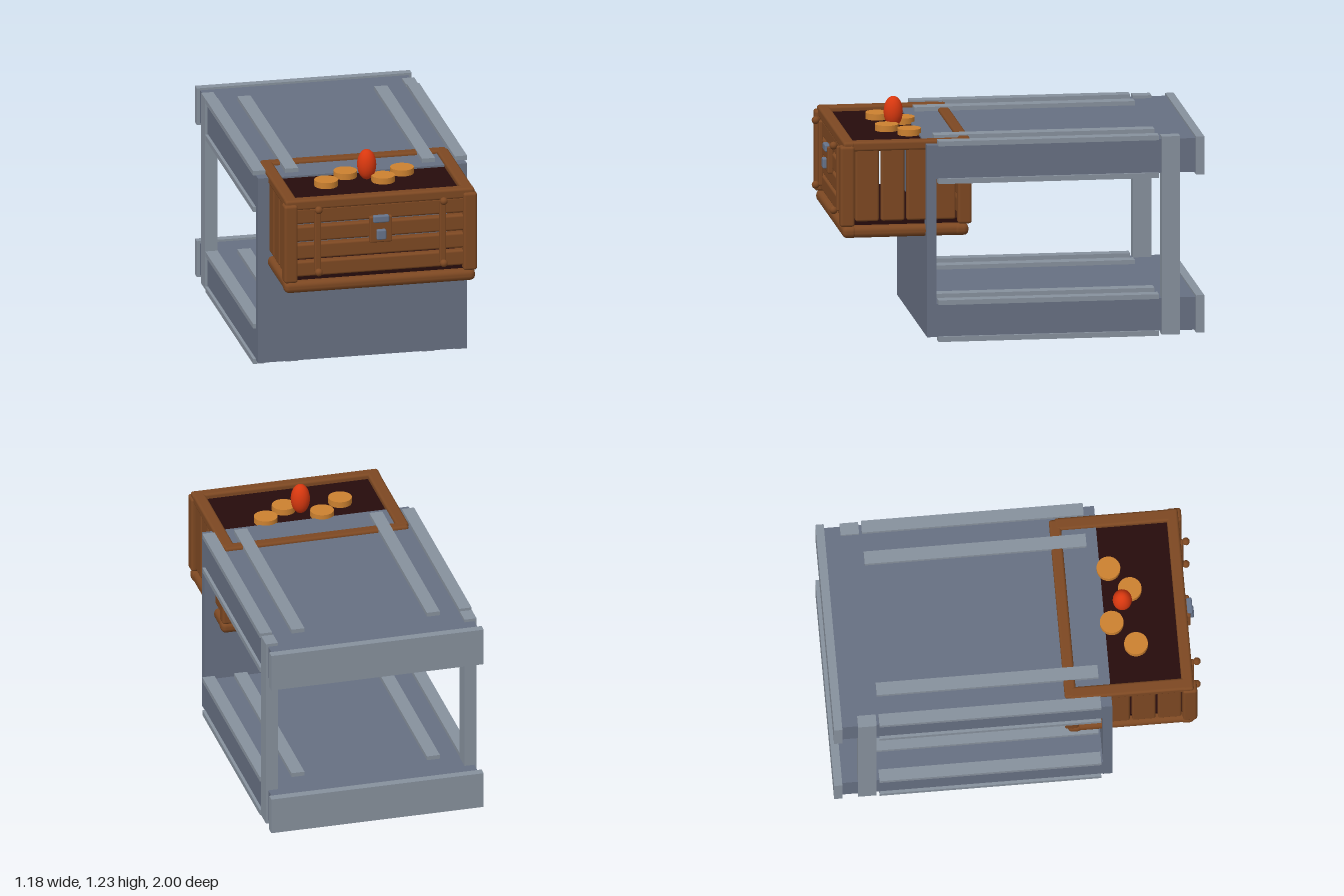
import * as THREE from 'three';
import { RoundedBoxGeometry } from 'three/addons/geometries/RoundedBoxGeometry.js';

const mat = (name, color) => {
  const m = new THREE.MeshStandardMaterial({ color });
  m.name = name;
  return m;
};

export function createModel() {
  const slate = mat('slate', 0x677082);
  const paleSlate = mat('paleSlate', 0x87919d);
  const wood = mat('wood', 0x7d4822);
  const lining = mat('darkLining', 0x260c0c);
  const gold = mat('gold', 0xcc8130);
  const red = mat('red', 0xd9380f);
  const iron = mat('iron', 0x66738a);

  const model = new THREE.Group();
  const frame = new THREE.Group();
  frame.name = 'frame';
  const chest = new THREE.Group();
  chest.name = 'chest';
  model.add(frame, chest);

  const put = (parent, name, geo, material, x, y, z) => {
    const m = new THREE.Mesh(geo, material);
    m.name = name;
    m.position.set(x, y, z);
    parent.add(m);
    return m;
  };
  // Boxes given by their min and max on each axis; r rounds the edges
  const box = (parent, name, material, x0, x1, y0, y1, z0, z1, r = 0) => {
    const s = [x1 - x0, y1 - y0, z1 - z0];
    const geo = r ? new RoundedBoxGeometry(...s, 2, Math.min(r, Math.min(...s) * 0.49))
      : new THREE.BoxGeometry(...s);
    return put(parent, name, geo, material, (x0 + x1) / 2, (y0 + y1) / 2, (z0 + z1) / 2);
  };
  // The same box on both sides
  const pair = (parent, name, material, x0, x1, ...rest) => {
    box(parent, name + 'Left', material, x0, x1, ...rest);
    box(parent, name + 'Right', material, -x1, -x0, ...rest);
  };

  // Two slabs with end caps and runners
  for (const [label, y0, y1] of [['lower', 0.03, 0.21], ['upper', 0.895, 1.08]]) {
    box(frame, label + 'Slab', slate, -0.572, 0.572, y0, y1, -0.96, 0.46);
    box(frame, label + 'EndCap', paleSlate, -0.59, 0.59, y0 - 0.012, y1 + 0.012, -1, -0.955);
    for (const [side, a, b] of [['Top', y1 - 0.003, y1 + 0.023], ['Bottom', y0 - 0.025, y0 + 0.003]]) {
      pair(frame, label + side + 'Runner', paleSlate, 0.34, 0.412, a, b, -0.755, 0.44);
      pair(frame, label + side + 'EdgeRail', paleSlate, 0.52, 0.588, a, b, -0.755, 0.44);
    }
  }
  box(frame, 'frontPanel', slate, -0.574, 0.574, 0.03, 1.08, 0.45, 0.5);
  pair(frame, 'rearPost', paleSlate, 0.518, 0.585, 0.01, 1.096, -0.87, -0.77);

  // Chest base frame and floor boards
  for (const [label, z0, z1] of [['front', 0.87, 0.95], ['back', 0.265, 0.345]]) {
    box(chest, label + 'BaseRail', wood, -0.525, 0.525, 0.57, 0.635, z0, z1, 0.028);
  }
  pair(chest, 'sideBaseRail', wood, 0.445, 0.52, 0.57, 0.635, 0.275, 0.94, 0.028);
  for (let i = 0; i < 4; i++) {
    const z = 0.335 + i * 0.137;
    box(chest, 'floorBoard', wood, -0.46, 0.46, 0.585, 0.63, z, z + 0.127, 0.012);
  }
  box(chest, 'floorLining', lining, -0.475, 0.475, 0.63, 0.66, 0.3, 0.91);

  // Corner posts
  pair(chest, 'frontCornerPost', wood, 0.455, 0.53, 0.635, 1.076, 0.885, 0.963, 0.015);
  pair(chest, 'backCornerPost', wood, 0.455, 0.525, 0.635, 1.076, 0.25, 0.325, 0.015);

  // Horizontal planks on the front and back walls
  for (const [y0, y1] of [[0.662, 0.748], [0.761, 0.847], [0.86, 0.948], [0.961, 1.05]]) {
    box(chest, 'frontPlank', wood, -0.47, 0.47, y0, y1, 0.895, 0.942, 0.012);
    box(chest, 'backPlank', wood, -0.47, 0.47, y0, y1, 0.265, 0.31, 0.012);
  }
  // Vertical planks on the side walls
  for (let i = 0; i < 4; i++) {
    const z = 0.335 + i * 0.139;
    pair(chest, 'sidePlank', wood, 0.465, 0.512, 0.66, 1.06, z, z + 0.127, 0.012);
  }
  // Top rim
  box(chest, 'frontRim', wood, -0.52, 0.52, 1.04, 1.098, 0.882, 0.945, 0.014);
  box(chest, 'backRim', wood, -0.51, 0.51, 1.04, 1.097, 0.25, 0.313, 0.014);
  pair(chest, 'sideRim', wood, 0.45, 0.518, 1.045, 1.098, 0.28, 0.93, 0.014);

  // Front straps with round studs
  for (const x of [-0.345, 0.342]) {
    box(chest, 'strap', wood, x - 0.018, x + 0.018, 0.69, 1.045, 0.935, 0.96, 0.008);
    for (const y of [0.693, 1.047]) {
      put(chest, 'stud', new THREE.SphereGeometry(0.021, 14, 10), wood, x, y, 0.975);
    }
  }
  // Lock
  box(chest, 'lockPlate', wood, -0.063, 0.062, 0.835, 0.982, 0.935, 0.967, 0.008);
  box(chest, 'lockHasp', iron, -0.045, 0.043, 0.95, 0.99, 0.95, 0.98, 0.008);
  box(chest, 'lockBody', iron, -0.027, 0.025, 0.855, 0.912, 0.95, 0.988, 0.008);

  // Contents
  box(chest, 'topLining', lining, -0.465, 0.465, 1.055, 1.07, 0.3, 0.9);
  for (const [x, z] of [[-0.235, 0.657], [-0.103, 0.537], [0.08, 0.65], [0.207, 0.546]]) {
    put(chest, 'coin', new THREE.CylinderGeometry(0.064, 0.064, 0.034, 24), gold, x, 1.088, z);
  }
  const egg = put(chest, 'gem', new THREE.SphereGeometry(0.052, 20, 14), red, 0, 1.155, 0.603);
  egg.scale.y = 1.63;

  return model;
}
